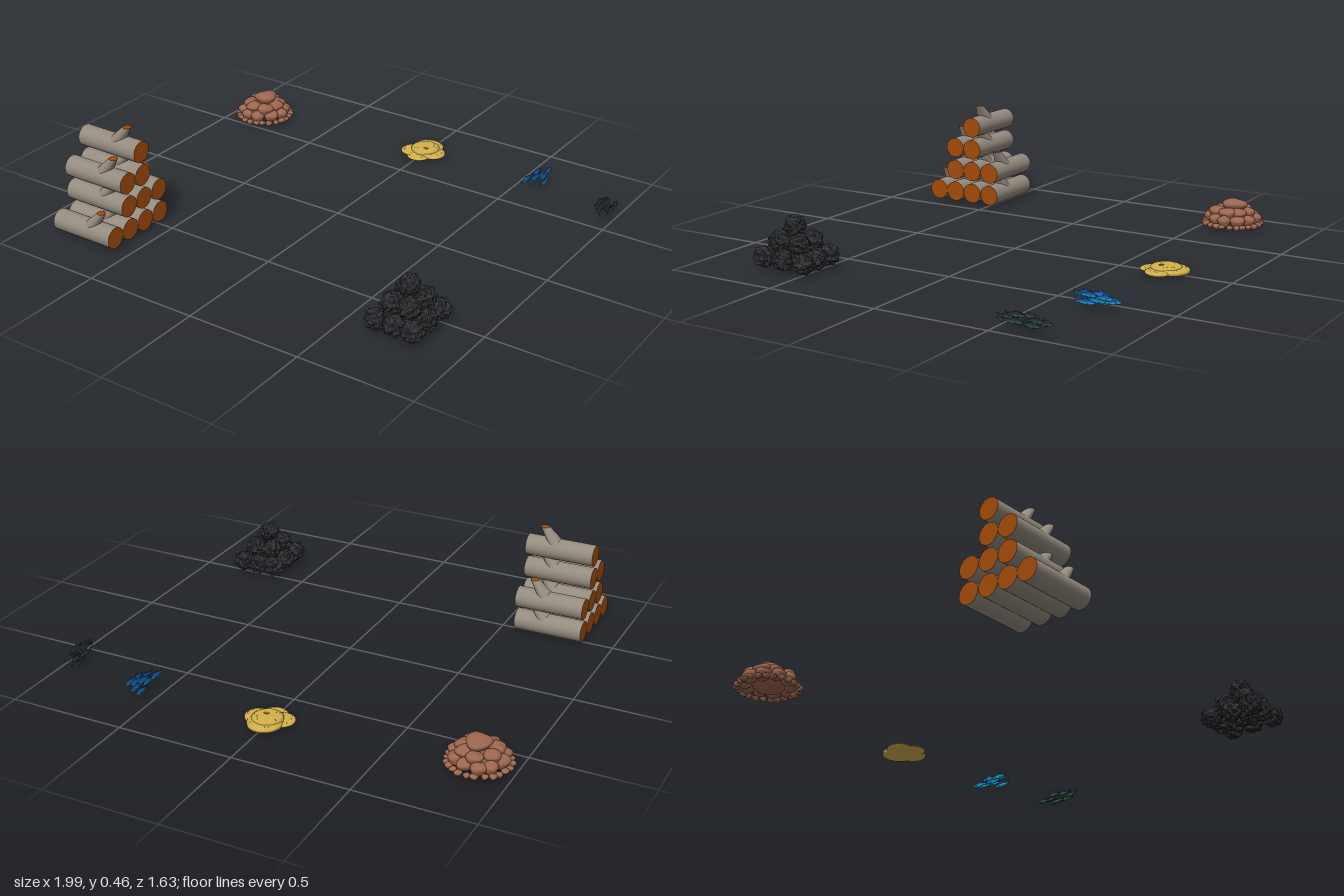
import * as THREE from 'three';
import { mergeVertices } from 'three/addons/utils/BufferGeometryUtils.js';

function mat(name, color, flat = false) {
  const m = new THREE.MeshStandardMaterial({ color, flatShading: flat });
  m.name = name;
  return m;
}

const bark = mat('bark', 0x958c80);
const wood = mat('cut wood', 0xa34a0a);
const coal = mat('coal', 0x303134, true);
const stone = mat('stone', 0x9c664f);
const gold = mat('gold', 0xd4b24c);
const ochre = mat('ochre', 0xb5641c);
const blue = mat('blue fish back', 0x164f9c);
const cyan = mat('cyan fish belly', 0x18a4cc);
const black = mat('dark fish back', 0x25292b);
const green = mat('green fish belly', 0x2f5544);

// Small seeded generator
let seed = 7;
const rand = (a = 0, b = 1) => {
  seed = (seed * 16807) % 2147483647;
  return a + (b - a) * (seed / 2147483647);
};

function add(parent, name, geo, material, x = 0, y = 0, z = 0) {
  const mesh = new THREE.Mesh(geo, material);
  mesh.name = name;
  mesh.position.set(x, y, z);
  parent.add(mesh);
  return mesh;
}

function group(parent, name, x = 0, y = 0, z = 0) {
  const g = new THREE.Group();
  g.name = name;
  g.position.set(x, y, z);
  parent.add(g);
  return g;
}

// Unit ball whose radius follows a rule of the direction
function lump(detail, radiusAt) {
  let geo = new THREE.IcosahedronGeometry(1, detail);
  geo.deleteAttribute('uv');
  geo.deleteAttribute('normal');
  geo = mergeVertices(geo, 1e-4);
  const p = geo.attributes.position;
  const v = new THREE.Vector3();
  for (let i = 0; i < p.count; i++) {
    v.fromBufferAttribute(p, i).normalize();
    v.multiplyScalar(radiusAt(v));
    p.setXYZ(i, v.x, v.y, v.z);
  }
  geo.computeVertexNormals();
  return geo;
}

// Log pyramid, each log with a slanted branch stub
function logPile(root) {
  const pile = group(root, 'logPile');
  const log = new THREE.CylinderGeometry(0.046, 0.046, 0.3, 28);
  log.rotateZ(-Math.PI / 2);
  const stub = new THREE.CylinderGeometry(0.019, 0.042, 0.085, 20);
  const p = stub.attributes.position;
  for (let i = 0; i < p.count; i++) p.setX(i, p.getX(i) + (p.getY(i) + 0.0425) * 0.8);
  stub.computeVertexNormals();
  const columns = [[0.77, 0, 0], [0.678, 0, 2], [0.585, 0, 3], [0.49, 0, 1]];
  for (const [z, from, to] of columns) {
    for (let row = from; row <= to; row++) {
      const g = group(pile, 'log', -0.72, 0.051 + row * 0.105, z);
      add(g, 'logTrunk', log, [bark, wood, wood]);
      add(g, 'branchStub', stub, [bark, wood, wood], 0.012, 0.0515, 0);
    }
  }
}

// Coal pyramid of jagged lumps
function coalPile(root) {
  const pile = group(root, 'coalPile', 0.722, 0, 0.592);
  const geos = [0, 1, 2].map(() => lump(5, (v) =>
    0.039 + 0.003 * Math.sin(9 * v.x + 5 * v.z) + 0.002 * Math.sin(11 * v.y)
    + rand(-0.003, 0.003) + (rand() > 0.96 ? 0.007 : 0)));
  for (let layer = 0; layer < 3; layer++) {
    const n = 3 - layer;
    for (let i = 0; i < n; i++) {
      for (let j = 0; j < n; j++) {
        const m = add(pile, 'coalLump', geos[(i + j * 2) % 3], coal,
          (i - (n - 1) / 2) * 0.08, 0.05 + layer * 0.063, (j - (n - 1) / 2) * 0.1);
        m.rotation.set(0, rand(0, 6), rand(0, 6));
        m.scale.setScalar(1.07);
      }
    }
  }
}

// Heap of rounded stones with a rim of pebbles
function stonePile(root) {
  const pile = group(root, 'stonePile', -0.85, 0, -0.625);
  const geos = [0, 1, 2, 3].map((k) => lump(5, (v) =>
    1 + 0.08 * Math.sin(3 * v.x + k) + 0.07 * Math.sin(4 * v.z + 2 * k) + 0.05 * Math.sin(5 * v.y)));
  let count = 0;
  const put = (name, x, y, z, sx, sy, sz, turn) => {
    const m = add(pile, name, geos[count++ % 4], stone, x, y, z);
    m.scale.set(sx, sy, sz);
    m.rotation.y = turn;
  };
  put('topStone', 0, 0.095, -0.008, 0.05, 0.028, 0.054, 0.2);
  put('heapCore', 0, 0.04, 0, 0.085, 0.037, 0.085, 0);
  const ring = (name, n, r, y, sizes) => {
    for (let i = 0; i < n; i++) {
      const a = (i + rand(-0.15, 0.15)) / n * Math.PI * 2;
      const s = rand(0.9, 1.1);
      put(name, Math.cos(a) * r * rand(0.97, 1.03), y, -Math.sin(a) * r, ...sizes.map((k) => k * s), a);
    }
  };
  ring('upperStone', 7, 0.065, 0.064, [0.036, 0.024, 0.034]);
  ring('lowerStone', 10, 0.092, 0.035, [0.034, 0.026, 0.031]);
  ring('pebble', 24, 0.121, 0.014, [0.017, 0.011, 0.014]);
}

// Overlapping flat gold discs with fine grains
function goldHeap(root) {
  const heap = group(root, 'goldHeap', 0, 0, -0.705);
  const discs = [
    [0, -0.034, 0.071, 0.024], [-0.044, 0.018, 0.057, 0.017], [0.049, 0.003, 0.056, 0.02],
    [0.003, 0.05, 0.054, 0.014], [0.002, -0.008, 0.064, 0.031],
  ];
  for (const [x, z, r, h] of discs) {
    const profile = [[0, 0.002], [r * 0.88, 0.002], [r, 0.007], [r, h - 0.006], [r * 0.85, h], [0, h]];
    const geo = new THREE.LatheGeometry(profile.map(([a, b]) => new THREE.Vector2(a, b)), 32);
    add(heap, 'goldDisc', geo, gold, x, 0, z);
    const grain = new THREE.OctahedronGeometry(0.0022);
    for (let i = 0; i < 9; i++) {
      const a = rand(0, Math.PI * 2);
      const d = r * rand(0.6, 0.84);
      add(heap, 'goldGrain', grain, gold, x + Math.cos(a) * d, h, z + Math.sin(a) * d);
    }
  }
  const fleck = add(heap, 'ochreFleck', new THREE.CylinderGeometry(0.013, 0.015, 0.004, 5), ochre, 0.016, 0.031, 0.008);
  fleck.scale.z = 0.7;
}

// Small slim fish lying along z, head to the back
function makeFish(parent, back, belly, x, y, z, length) {
  const fish = group(parent, 'fish', x, y, z);
  const half = (name, start, span, material) => {
    const geo = new THREE.SphereGeometry(1, 14, 8, 0, Math.PI * 2, start, span);
    const p = geo.attributes.position;
    for (let i = 0; i < p.count; i++) {
      const w = 1 - 0.35 * Math.max(0, p.getZ(i));
      p.setXYZ(i, p.getX(i) * 0.0065 * w, p.getY(i) * 0.011 * w, p.getZ(i) * length * 0.4);
    }
    geo.computeVertexNormals();
    add(fish, name, geo, material);
  };
  half('fishBack', 0, Math.PI * 0.45, back);
  half('fishBelly', Math.PI * 0.45, Math.PI * 0.55, belly);
  const fin = new THREE.ConeGeometry(1, 1, 4);
  const putFin = (name, material, fx, fy, fz, s, rx, rz) => {
    const m = add(fish, name, fin, material, fx, fy, fz);
    m.scale.set(...s);
    m.rotation.set(rx, 0, rz);
  };
  putFin('tailUpper', back, 0, 0.006, length * 0.44, [0.0015, 0.028, 0.005], 1.1, 0);
  putFin('tailLower', belly, 0, -0.006, length * 0.44, [0.0015, 0.028, 0.005], 2.04, 0);
  putFin('dorsalFin', back, 0, 0.012, 0.004, [0.0015, 0.014, 0.011], 0.5, 0);
  for (const s of [-1, 1]) {
    putFin('sideFin', belly, s * 0.008, -0.004, -length * 0.12, [0.005, 0.012, 0.0015], 0.5, -s * 1.9);
  }
}

// Shoal from a few [x, y, z] places
function shoal(root, name, back, belly, places) {
  const g = group(root, name);
  for (const [x, y, z] of places) makeFish(g, back, belly, x, y, z, rand(0.082, 0.1));
}

export function createModel() {
  const root = new THREE.Group();
  root.name = 'resourcePiles';
  logPile(root);
  coalPile(root);
  stonePile(root);
  goldHeap(root);
  shoal(root, 'blueShoal', blue, cyan, [
    [0.552, 0.03, -0.765], [0.556, 0.045, -0.65], [0.57, 0.055, -0.72], [0.582, 0.035, -0.755],
    [0.585, 0.05, -0.68], [0.602, 0.04, -0.725], [0.606, 0.055, -0.76], [0.626, 0.035, -0.69],
    [0.567, 0.036, -0.69],
  ]);
  shoal(root, 'darkShoal', black, green, [
    [0.915, 0.03, -0.685], [0.92, 0.05, -0.625], [0.936, 0.04, -0.66], [0.945, 0.055, -0.585],
    [0.955, 0.03, -0.63], [0.967, 0.05, -0.56], [0.972, 0.035, -0.665], [0.987, 0.045, -0.6],
  ]);
  return root;
}
